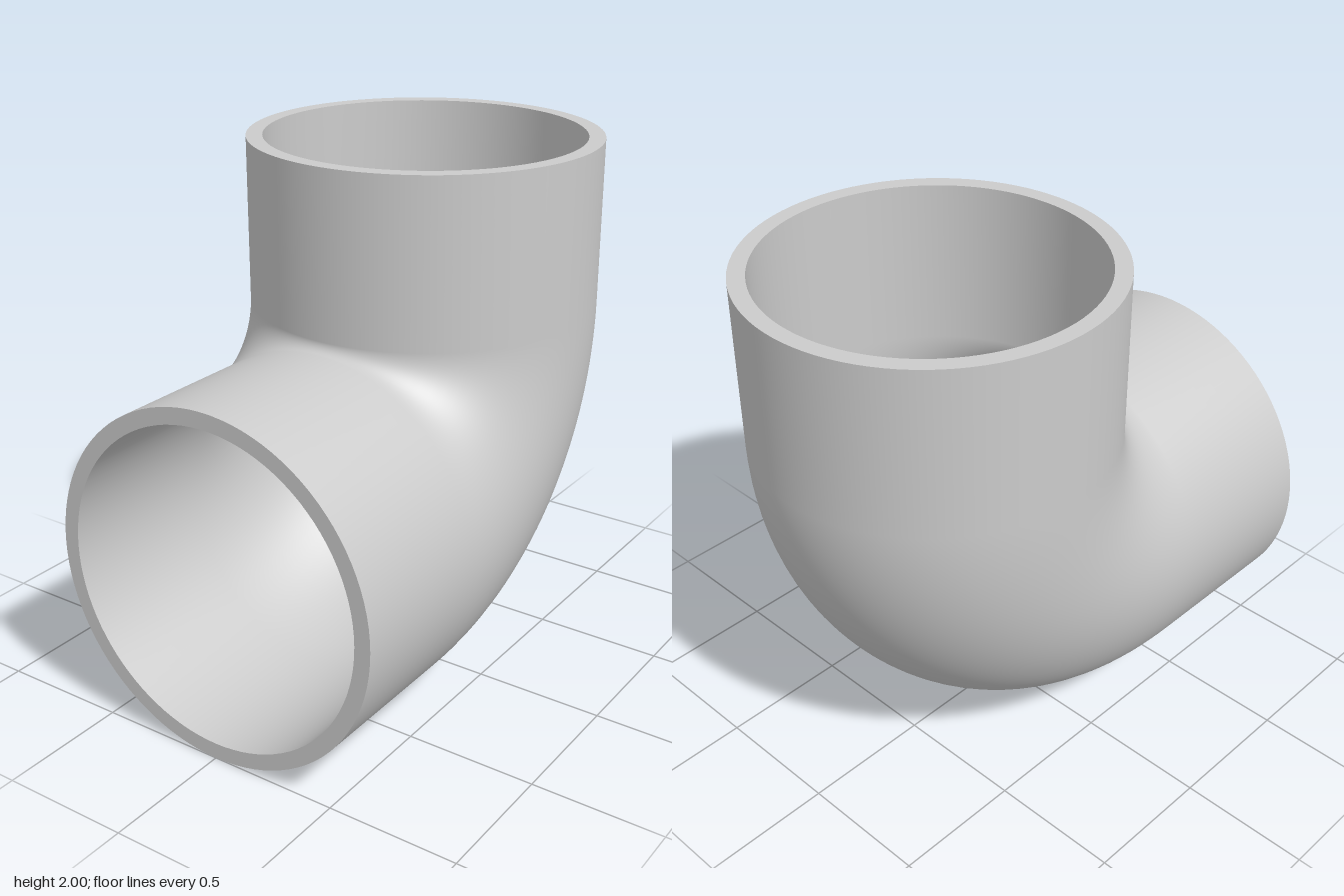
import * as THREE from 'three';
import { ParametricGeometry } from 'three/addons/geometries/ParametricGeometry.js';

const OUTER = 2 / 3, INNER = 0.605;
const C = 0.37;               // bend centre: z = C, y = 1 + C
const BEND = C + 1 / 3;       // centreline bend radius
const SIDES = 96, STEPS = 48;

// Sweep a circle along straight leg -> quarter bend -> straight leg
function wall(radius, inward) {
  return new ParametricGeometry((u, v, target) => {
    const a = (inward ? -u : u) * Math.PI * 2;
    const s = v * 6;
    const p = THREE.MathUtils.clamp((s - 1) / 4, 0, 1) * Math.PI / 2;
    const reach = BEND + radius * Math.sin(a);
    const front = Math.max(0, 1 - s) * (1 - C);
    const up = Math.max(0, s - 5) * (1 - C);
    target.set(
      radius * Math.cos(a),
      1 + C - reach * Math.cos(p) + up,
      C - reach * Math.sin(p) + front
    );
  }, SIDES, STEPS);
}

export function createModel() {
  const group = new THREE.Group();
  group.name = 'pipeElbow';
  const material = new THREE.MeshStandardMaterial({ color: 0xcccccc });
  const add = (name, geometry) => {
    const mesh = new THREE.Mesh(geometry, material);
    mesh.name = name;
    group.add(mesh);
    return mesh;
  };

  // Pipe walls
  add('outerWall', wall(OUTER, false));
  add('innerWall', wall(INNER, true));

  // Flat annular ends
  const rim = new THREE.RingGeometry(INNER, OUTER, SIDES);
  add('frontRim', rim).position.set(0, 2 / 3, 1);
  const topRim = add('topRim', rim);
  topRim.rotation.x = -Math.PI / 2;
  topRim.position.set(0, 2, -1 / 3);

  return group;
}
